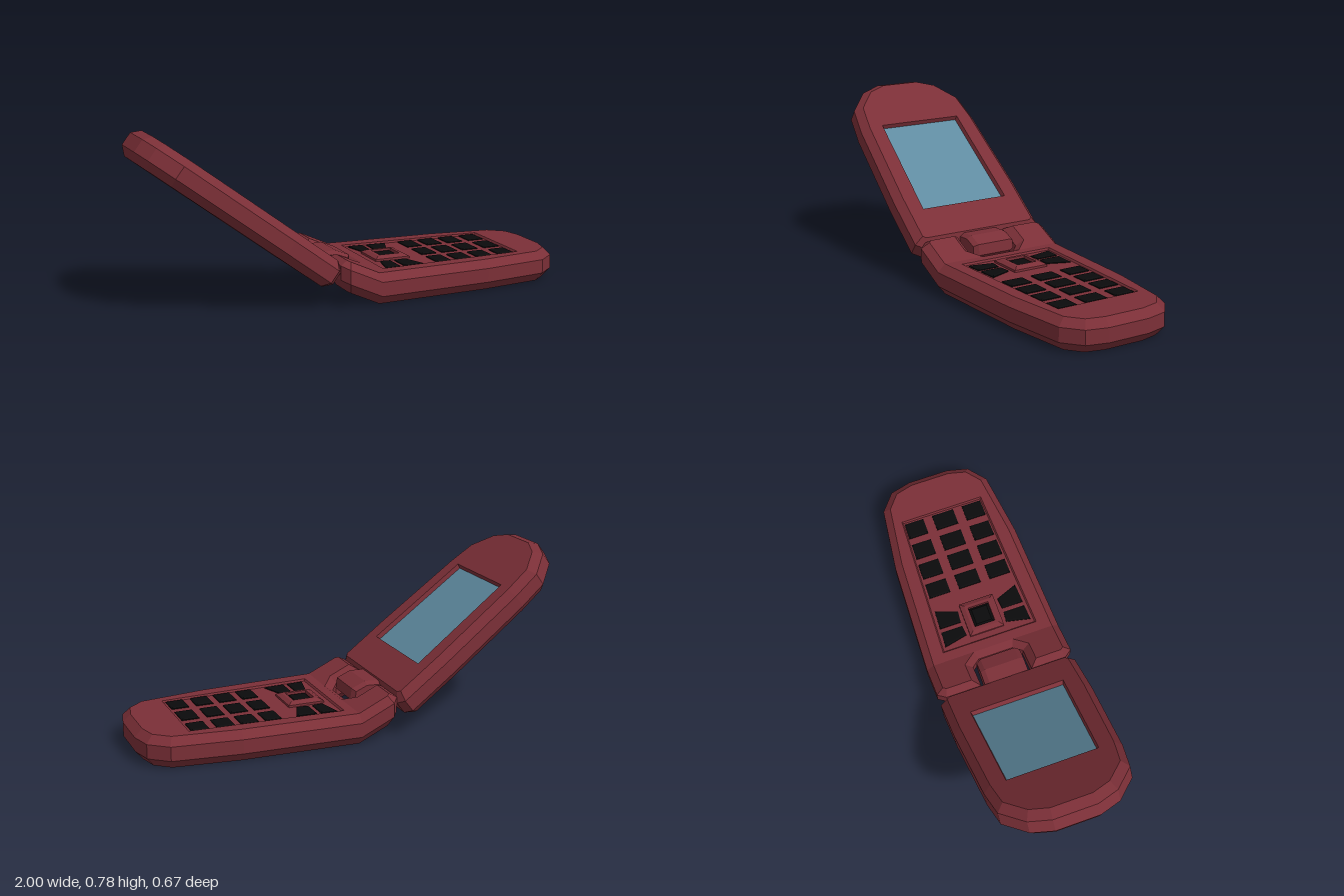
import * as THREE from 'three';

const paint = (color) => new THREE.MeshStandardMaterial({ color, flatShading: true });
const RED = paint(0x7b2f37), GLASS = paint(0x5f8ba0), BLACK = paint(0x0b0b0c);

// Complete a half outline (z > 0) with its mirror image
const mirrored = (half) => [...half, ...half.map(([x, z]) => [x, -z]).reverse()];

// Move every edge of a counter-clockwise outline inwards by d
function inset(pts, d) {
  const n = pts.length;
  const normal = (i) => {
    const [ax, az] = pts[(i + n) % n], [bx, bz] = pts[(i + 1) % n];
    const len = Math.hypot(bx - ax, bz - az);
    return [-(bz - az) / len, (bx - ax) / len];
  };
  return pts.map(([x, z], i) => {
    const [ax, az] = normal(i - 1), [bx, bz] = normal(i);
    const k = d / (1 + ax * bx + az * bz);
    return [x + k * (ax + bx), z + k * (az + bz)];
  });
}

// Stack insets of an outline at [height, inset] levels; the caps may be split or have a hole
function stack(name, material, outline, levels, opt = {}) {
  const { bottom = true, top = true, hole = [], parts = [outline.map((_, i) => i)], bend = () => 0 } = opt;
  let pts = outline;
  if (THREE.ShapeUtils.area(pts.map((p) => new THREE.Vector2(...p))) < 0) pts = [...pts].reverse();
  const pos = [];
  const tri = (...ps) => ps.forEach(([x, y, z]) => pos.push(x, y + bend(x), z));
  const rings = levels.map(([y, d]) => inset(pts, d).map(([x, z]) => [x, y, z]));
  for (let r = 0; r + 1 < rings.length; r++) {
    pts.forEach((_, i) => {
      const j = (i + 1) % pts.length, lo = rings[r], hi = rings[r + 1];
      tri(lo[i], hi[i], hi[j]);
      tri(lo[i], hi[j], lo[j]);
    });
  }
  const cap = (ring, up, holes) => parts.forEach((ids, k) => {
    const y = ring[0][1];
    const contour = ids.map((i) => new THREE.Vector2(ring[i][0], ring[i][2]));
    const cut = k === 0 && holes.length ? [holes.map((p) => new THREE.Vector2(...p))] : [];
    const all = [...contour, ...cut.flat()];
    THREE.ShapeUtils.triangulateShape(contour, cut).forEach((face) => {
      const [a, b, c] = face.map((i) => all[i]);
      const facesUp = (b.x - a.x) * (c.y - a.y) - (b.y - a.y) * (c.x - a.x) < 0;
      const order = facesUp === up ? [a, b, c] : [a, c, b];
      tri(...order.map((v) => [v.x, y, v.y]));
    });
  });
  if (bottom) cap(rings[0], false, []);
  if (top) cap(rings[rings.length - 1], true, hole);
  const geo = new THREE.BufferGeometry();
  geo.setAttribute('position', new THREE.Float32BufferAttribute(pos, 3));
  geo.computeVertexNormals();
  const mesh = new THREE.Mesh(geo, material);
  mesh.name = name;
  return mesh;
}

function buildBase() {
  const base = new THREE.Group();
  base.name = 'base';
  const outline = mirrored([[1, 0.1], [0.975, 0.2], [0.89, 0.27], [0.58, 0.31], [0.035, 0.333],
    [-0.12, 0.333], [-0.15, 0.295], [-0.15, 0.125], [-0.035, 0.125], [0, 0.085]]);
  const panel = mirrored([[0.79, 0.205], [0.08, 0.235]]);

  // Body, with two hinge arms bent upwards on either side of a notch
  base.add(stack('baseBody', RED, outline, [[0.003, 0.035], [0.045, 0], [0.11, 0], [0.145, 0.035]], {
    hole: panel,
    parts: [[0, 1, 2, 3, 4, 9, 10, 15, 16, 17, 18, 19], [4, 5, 6, 7, 8, 9], [10, 11, 12, 13, 14, 15]],
    bend: (x) => Math.max(0, 0.035 - x) * 0.46,
  }));
  // Sunken keypad panel
  base.add(stack('keypadPanel', RED, panel, [[0.145, 0], [0.136, 0.006]], { bottom: false }));

  const key = (name, pts) => base.add(stack(name, BLACK, pts, [[0.13, 0], [0.14, 0], [0.144, 0.008]], { bottom: false }));
  // Number keys, four columns of three, narrowing towards the end
  [[0.365, 0.44], [0.47, 0.55], [0.58, 0.66], [0.695, 0.775]].forEach(([x0, x1]) => {
    const edge = (x) => 0.215 - 0.025 * x;
    key('numberKey', mirrored([[x1, 0.055], [x0, 0.055]]));
    [1, -1].forEach((s) => key('numberKey',
      [[x0, 0.1 * s], [x1, 0.1 * s], [x1, edge(x1) * s], [x0, edge(x0) * s]]));
  });
  // Slanted function keys
  [1, -1].forEach((s) => {
    key('functionKey', [[0.13, 0.1 * s], [0.18, 0.105 * s], [0.18, 0.21 * s], [0.105, 0.215 * s]]);
    key('functionKey', [[0.2, 0.105 * s], [0.255, 0.1 * s], [0.295, 0.205 * s], [0.2, 0.21 * s]]);
  });
  // Raised navigation pad with a dark centre
  const square = (r) => mirrored([[0.2 + r, r], [0.2 - r, r]]);
  base.add(stack('navigationFrame', RED, square(0.085), [[0.13, 0], [0.146, 0], [0.157, 0.02]],
    { bottom: false, hole: square(0.05) }));
  base.add(stack('navigationFrameWall', RED, square(0.05), [[0.157, 0], [0.14, 0]], { bottom: false, top: false }));
  base.add(stack('navigationKey', BLACK, square(0.05), [[0.14, 0], [0.15, 0.012]], { bottom: false }));
  return base;
}

function buildLid() {
  const lid = new THREE.Group();
  lid.name = 'lid';
  const outline = mirrored([[-0.22, 0.295], [-0.25, 0.333], [-0.5, 0.333], [-0.947, 0.315],
    [-1.09, 0.295], [-1.2, 0.2], [-1.24, 0.1]]);
  const window = mirrored([[-0.418, 0.225], [-0.95, 0.21]]);
  lid.add(stack('lidBody', RED, outline, [[-0.056, 0.035], [-0.02, 0], [0.043, 0], [0.078, 0.035]], { hole: window }));
  // Recess with the display at its bottom
  lid.add(stack('screenRecess', RED, window, [[0.078, 0], [0.058, 0.006]], { bottom: false, top: false }));
  lid.add(stack('screen', GLASS, window, [[0.058, 0.006]], { bottom: false }));
  lid.rotation.z = -Math.atan2(0.6, 0.8);
  return lid;
}

// Tongue of the lid that sits in the notch of the base
function buildKnuckle() {
  const profile = new THREE.Shape([[-0.22, 0.16], [-0.2, 0.13], [-0.12, 0.11], [-0.06, 0.115], [-0.03, 0.14],
    [-0.035, 0.175], [-0.09, 0.198], [-0.15, 0.195]].map((p) => new THREE.Vector2(...p)));
  const geo = new THREE.ExtrudeGeometry(profile,
    { depth: 0.17, bevelEnabled: true, bevelSize: 0.014, bevelThickness: 0.022, bevelSegments: 1 });
  geo.translate(0, 0, -0.085);
  const mesh = new THREE.Mesh(geo, RED);
  mesh.name = 'hingeKnuckle';
  return mesh;
}

export function createModel() {
  const model = new THREE.Group();
  model.name = 'flipPhone';
  model.add(buildBase(), buildLid(), buildKnuckle());
  return model;
}
